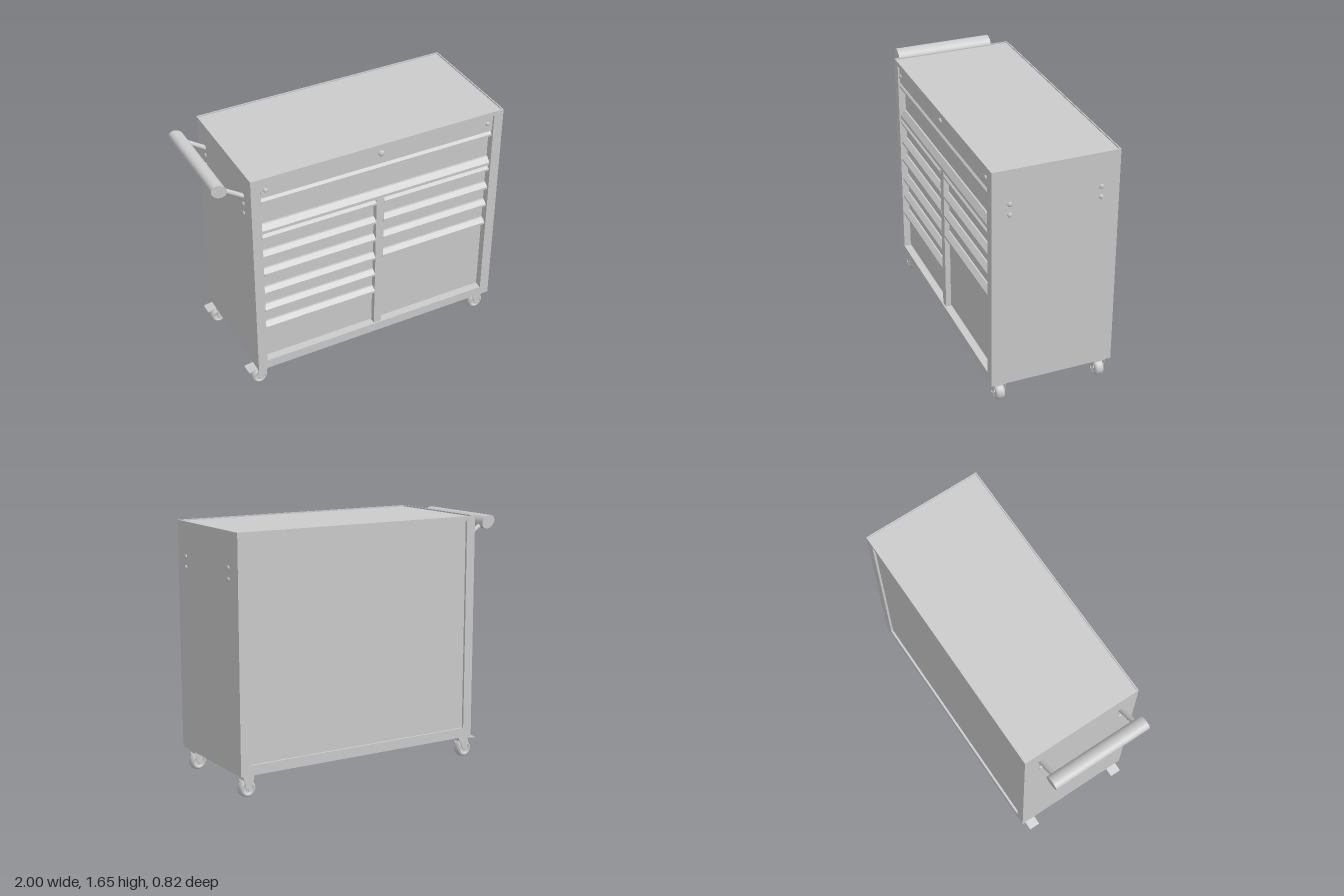
import * as THREE from 'three';

const mat = new THREE.MeshStandardMaterial({ color: 0xcccccc, side: THREE.DoubleSide });
const LEFT = -0.78, RIGHT = 0.985, BOTTOM = 0.15, TOP = 1.655, DEPTH = 0.41, PANEL_Z = 0.36;

function add(parent, name, geometry, x = 0, y = 0, z = 0) {
  const mesh = new THREE.Mesh(geometry, mat);
  mesh.name = name;
  mesh.position.set(x, y, z);
  parent.add(mesh);
  return mesh;
}

// Box given by its min and max corners
function block(parent, name, x0, x1, y0, y1, z0, z1) {
  return add(parent, name, new THREE.BoxGeometry(x1 - x0, y1 - y0, z1 - z0),
    (x0 + x1) / 2, (y0 + y1) / 2, (z0 + z1) / 2);
}

const polygon = (pts) => new THREE.Shape(pts.map(([x, y]) => new THREE.Vector2(x, y)));
const rect = (x0, x1, y0, y1) => polygon([[x0, y0], [x1, y0], [x1, y1], [x0, y1]]);
const extrude = (shape, depth) => new THREE.ExtrudeGeometry(shape, { depth, bevelEnabled: false, curveSegments: 12 });

// Rectangular ring, outer minus inner
function ring(outer, inner, depth) {
  const shape = rect(...outer);
  shape.holes.push(rect(...inner));
  return extrude(shape, depth);
}

// Domed fastener head pointing along +z
function stud(parent, name, r, h, x, y, z, turn = 0) {
  const pts = [[0, h], [r * 0.6, h * 0.9], [r, h * 0.5], [r, -0.002]].map(([a, b]) => new THREE.Vector2(a, b));
  const mesh = add(parent, name, new THREE.LatheGeometry(pts, 16).rotateX(Math.PI / 2), x, y, z);
  mesh.rotation.y = turn;
}

// Full-width drawer pull: sloped top, vertical lip, tucked underside
function pull(parent, x0, x1, yTop, yBottom) {
  const h = yTop - yBottom;
  const profile = polygon([
    [PANEL_Z - 0.005, yTop], [PANEL_Z + 0.012, yTop], [PANEL_Z + 0.042, yBottom + h * 0.4],
    [PANEL_Z + 0.042, yBottom], [PANEL_Z + 0.034, yBottom], [PANEL_Z + 0.03, yBottom + h * 0.25],
    [PANEL_Z - 0.005, yBottom + h * 0.3]]);
  // Profile x becomes world z, extrusion becomes world -x
  add(parent, 'drawerPull', extrude(profile, x1 - x0).rotateY(-Math.PI / 2), x1, 0, 0);
}

function drawer(parent, x0, x1, yTop, yBottom, pullHeight) {
  const g = new THREE.Group();
  g.name = 'drawer';
  block(g, 'drawerFront', x0, x1, yBottom + 0.004, yTop, PANEL_Z - 0.02, PANEL_Z + 0.004);
  pull(g, x0, x1, yTop, yTop - pullHeight);
  parent.add(g);
}

// Caster: pivot at x, wheel axle shifted by trail
function caster(parent, x, z, trail, brake) {
  const g = new THREE.Group();
  g.name = 'caster';
  g.position.set(x, 0, z);
  const r = 0.056, w = 0.031;
  const tread = [[0, -0.02], [0.03, -0.02], [0.034, -w], [0.044, -w], [0.052, -0.022], [r, -0.01],
    [r, 0.01], [0.052, 0.022], [0.044, w], [0.034, w], [0.03, 0.02], [0, 0.02]];
  add(g, 'wheel', new THREE.LatheGeometry(tread.map(([a, b]) => new THREE.Vector2(a, b)), 32).rotateX(Math.PI / 2), trail, r, 0);
  add(g, 'axle', new THREE.CylinderGeometry(0.011, 0.011, 0.092, 12).rotateX(Math.PI / 2), trail, r, 0);
  block(g, 'mountPlate', -0.04, 0.04, 0.138, BOTTOM + 0.002, -0.04, 0.04);
  block(g, 'forkCrown', -0.034, 0.034, 0.118, 0.138, -0.04, 0.04);
  const side = polygon([[-0.04, 0.145], [0.04, 0.145], [trail + 0.017, 0.05], [trail + 0.008, 0.04],
    [trail - 0.008, 0.04], [trail - 0.017, 0.05]]);
  for (const s of [-1, 1]) add(g, 'forkSide', extrude(side, 0.006), 0, 0, s * 0.038 - 0.003);
  if (brake) {
    const pedal = add(g, 'brakePedal', new THREE.BoxGeometry(0.08, 0.008, 0.076), -0.065, 0.132, 0);
    pedal.rotation.z = 0.15;
  }
  parent.add(g);
}

export function createModel() {
  const root = new THREE.Group();
  root.name = 'toolCabinet';

  // Cabinet shell with recessed front and back
  const roof = TOP - 0.008;
  const outer = [LEFT, RIGHT, BOTTOM, roof], opening = [-0.715, 0.918, 0.215, 1.625];
  block(root, 'cabinetBody', LEFT, RIGHT, BOTTOM, roof, -DEPTH + 0.015, PANEL_Z - 0.01);
  add(root, 'frontFrame', ring(outer, opening, DEPTH - PANEL_Z + 0.01), 0, 0, PANEL_Z - 0.01);
  add(root, 'backFrame', ring(outer, opening, 0.015), 0, 0, -DEPTH);
  const lip = ring([LEFT, RIGHT, -DEPTH, DEPTH], [LEFT + 0.008, RIGHT - 0.008, -DEPTH + 0.008, DEPTH - 0.008], 0.008);
  add(root, 'topLip', lip.rotateX(-Math.PI / 2), 0, roof, 0);

  // Top fascia with lock and two screws
  const [x0, x1] = [-0.71, 0.915];
  block(root, 'topFascia', x0, x1, 1.51, 1.622, PANEL_Z - 0.02, 0.4);
  stud(root, 'fasciaScrew', 0.014, 0.012, -0.68, 1.563, 0.4);
  stud(root, 'fasciaScrew', 0.014, 0.012, 0.875, 1.572, 0.4);
  stud(root, 'lock', 0.02, 0.014, 0.105, 1.585, 0.4);

  // Wide drawer, cross rail and centre post
  drawer(root, x0, x1, 1.505, 1.295, 0.035);
  pull(root, x0, x1, 1.295, 1.243);
  block(root, 'crossRail', x0, x1, 1.235, 1.25, PANEL_Z - 0.02, 0.385);
  block(root, 'centrePost', 0.08, 0.135, 0.215, 1.238, PANEL_Z - 0.02, 0.4);

  // Two drawer columns; the right one ends in one deep drawer
  const tops = [1.232, 1.09, 0.95, 0.8, 0.66, 0.518, 0.22];
  for (let i = 0; i < 6; i++) drawer(root, x0, 0.08, tops[i], tops[i + 1], i ? 0.038 : 0.032);
  for (let i = 0; i < 4; i++) drawer(root, 0.135, x1, tops[i], i < 3 ? tops[i + 1] : 0.22, i ? 0.038 : 0.032);

  // Push handle: oval grip on two sloping arms
  const grip = new THREE.CylinderGeometry(1, 1, 0.675, 32).rotateX(Math.PI / 2).scale(0.054, 0.041, 1);
  add(root, 'handleGrip', grip, -0.95, 1.597, 0).rotation.z = -0.58;
  for (const z of [-0.293, 0.293]) {
    const path = new THREE.LineCurve3(new THREE.Vector3(-0.765, 1.475, z), new THREE.Vector3(-0.94, 1.59, z));
    add(root, 'handleArm', new THREE.TubeGeometry(path, 1, 0.016, 16));
  }

  // Side bolts on both flanks
  for (const z of [-0.29, 0.297]) for (const y of [1.36, 1.43]) {
    stud(root, 'sideBolt', 0.015, 0.01, RIGHT, y, z, Math.PI / 2);
    stud(root, 'sideBolt', 0.015, 0.01, LEFT, y, z, -Math.PI / 2);
  }

  // Casters, braked on the handle side
  for (const z of [-0.348, 0.34]) {
    caster(root, -0.733, z, -0.022, true);
    caster(root, 0.92, z, -0.002, false);
  }
  return root;
}
